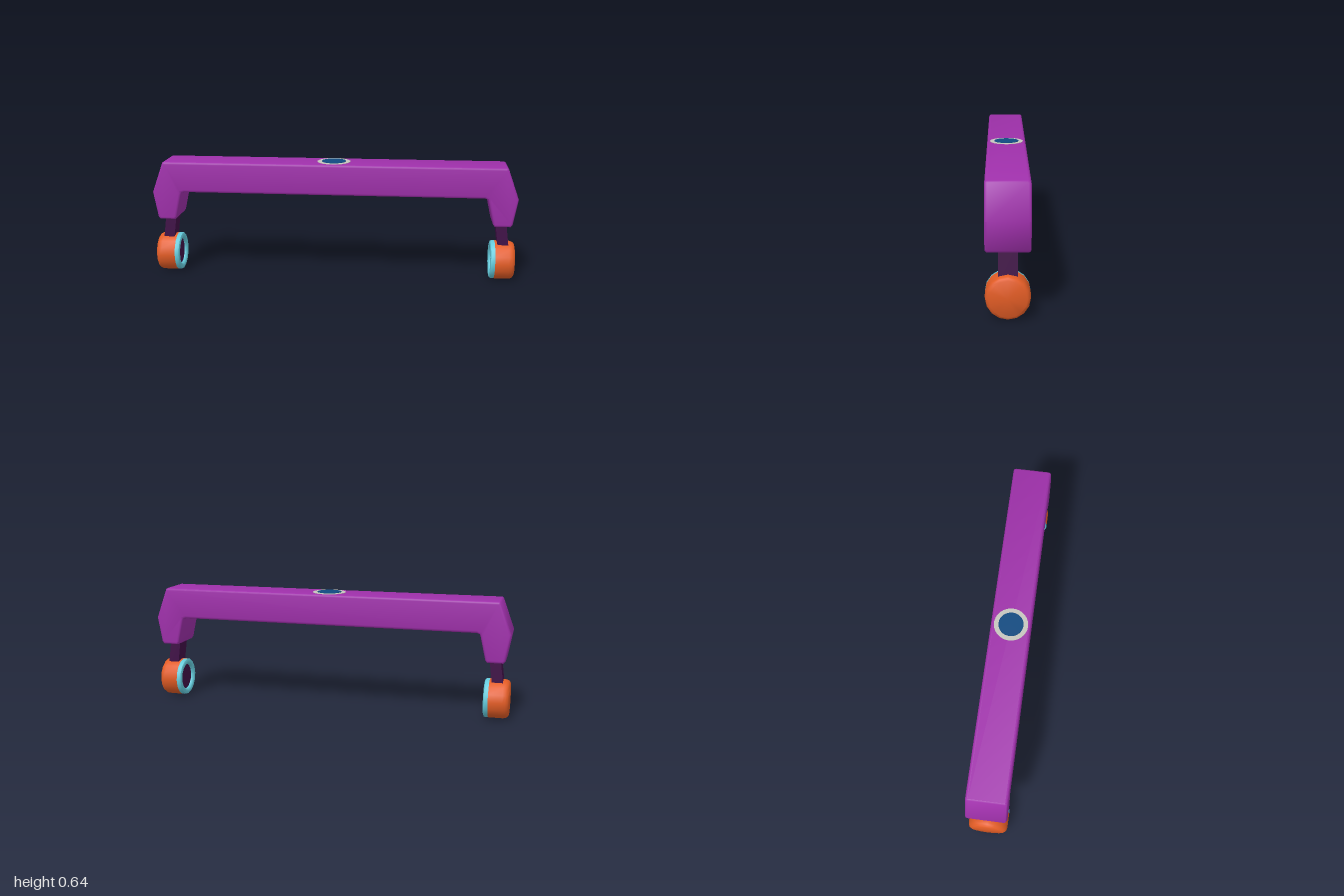
import * as THREE from 'three';
import { toCreasedNormals } from 'three/addons/utils/BufferGeometryUtils.js';

const mat = (name, color, side = THREE.FrontSide) => {
  const m = new THREE.MeshStandardMaterial({ color, side });
  m.name = name;
  return m;
};

export function createModel() {
  const purple = mat('purple', 0x9f30ab);
  const darkPurple = mat('dark purple', 0x401047);
  const orange = mat('orange', 0xe25c25);
  const cyan = mat('cyan', 0x64cbdc);
  const grey = mat('light grey', 0xc6c6be);
  const blue = mat('deep blue', 0x104a80);

  const group = new THREE.Group();
  const add = (parent, name, geometry, material) => {
    const mesh = new THREE.Mesh(geometry, material);
    mesh.name = name;
    parent.add(mesh);
    return mesh;
  };
  const smooth = (g) => toCreasedNormals(g, 0.65);
  const lathe = (points) =>
    smooth(new THREE.LatheGeometry(points.map(([r, h]) => new THREE.Vector2(r, h)), 16));

  // Headband: mirrored outline, extruded with a small rounded bevel
  const half = [[0.84, 0.455], [0.868, 0.33], [0.878, 0.317], [0.962, 0.317], [0.973, 0.33],
    [0.998, 0.47], [0.938, 0.635], [0.93, 0.641]];
  const inner = [[0.82, 0.472], [0.835, 0.467]];
  const right = [...inner, ...half];
  const left = right.map(([x, y]) => [-x, y]).reverse();
  const outline = new THREE.Shape([...right, ...left].map(([x, y]) => new THREE.Vector2(x, y)));
  const bevel = 0.014;
  const band = new THREE.ExtrudeGeometry(outline, {
    depth: 0.212 - 2 * bevel, bevelEnabled: true, bevelSize: bevel,
    bevelThickness: bevel, bevelOffset: -bevel, bevelSegments: 3,
  });
  band.translate(0, 0, -0.106 + bevel);
  add(group, 'headband', smooth(band), purple);

  // Round badge on top of the band
  const ring = add(group, 'badgeRing', new THREE.CylinderGeometry(0.09, 0.09, 0.006, 32), grey);
  ring.position.y = 0.64;
  const centre = add(group, 'badgeCentre', new THREE.CylinderGeometry(0.066, 0.066, 0.006, 32), blue);
  centre.position.y = 0.642;

  for (const s of [1, -1]) {
    const side = s > 0 ? 'left' : 'right';

    // Slanted stem between band and ear cup
    const stem = add(group, side + 'Stem', new THREE.BoxGeometry(0.058, 0.2, 0.09), darkPurple);
    stem.position.set(s * 0.925, 0.255, 0);
    stem.rotation.z = s * 0.133;

    // Ear cup: lathed parts whose +y axis points outward
    const cup = new THREE.Group();
    cup.name = side + 'EarCup';
    cup.position.set(s * 0.89, 0.106, 0);
    cup.rotation.z = -s * Math.PI / 2;
    group.add(cup);
    add(cup, side + 'CupShell', lathe([[0, 0], [0.106, 0], [0.106, 0.075], [0.104, 0.09],
      [0.098, 0.101], [0.088, 0.107], [0, 0.108]]), orange);
    add(cup, side + 'EarCushion', lathe([[0.072, 0], [0.072, -0.014], [0.077, -0.022],
      [0.086, -0.026], [0.095, -0.026], [0.103, -0.022], [0.106, -0.014], [0.106, 0]]), cyan);
    const pad = add(cup, side + 'SpeakerPad', new THREE.CylinderGeometry(0.073, 0.073, 0.008, 16), darkPurple);
    pad.position.y = -0.005;
  }
  return group;
}
